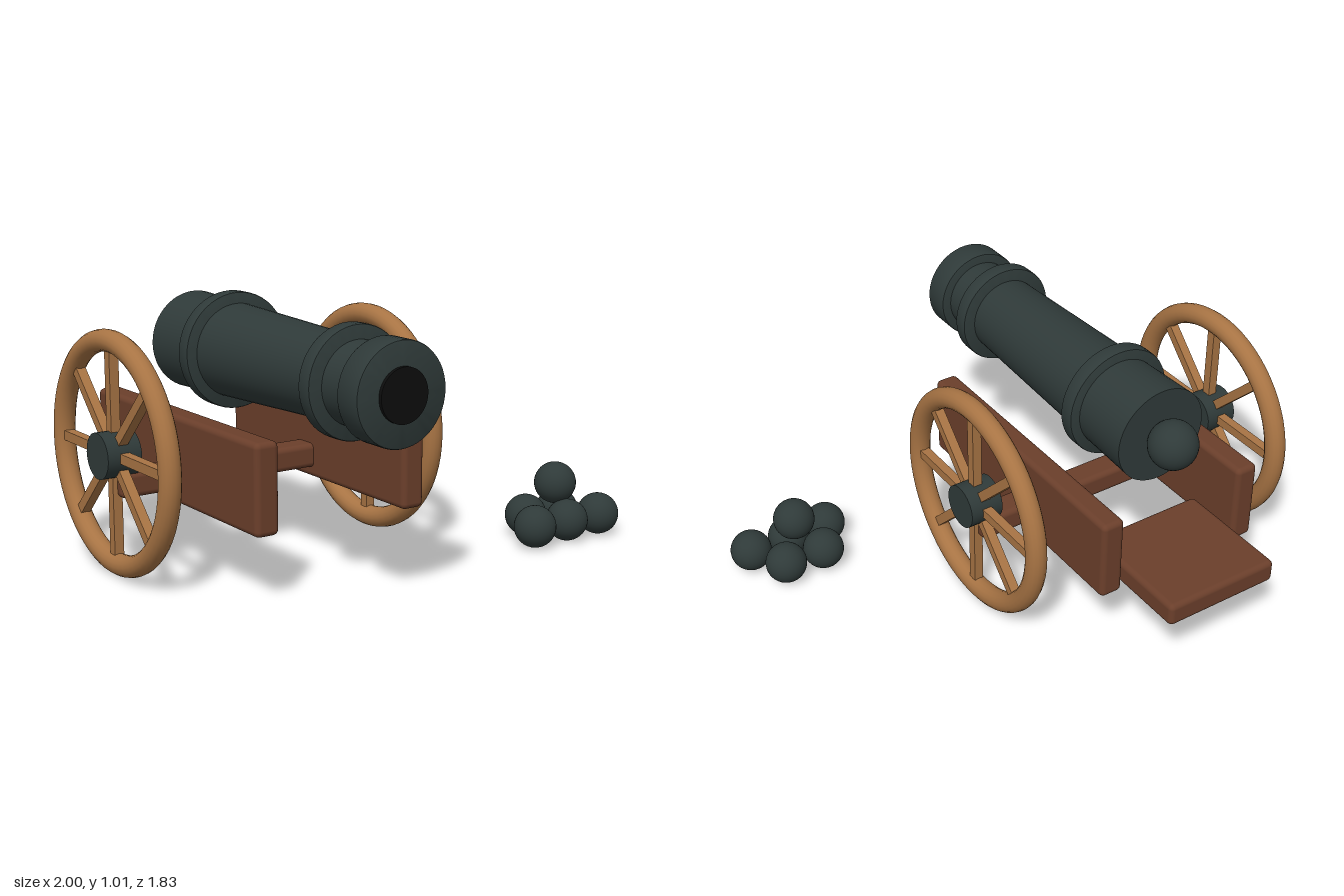
import * as THREE from 'three';
import { RoundedBoxGeometry } from 'three/addons/geometries/RoundedBoxGeometry.js';
import { toCreasedNormals } from 'three/addons/utils/BufferGeometryUtils.js';

const material = (name, color) => {
  const m = new THREE.MeshStandardMaterial({ color });
  m.name = name;
  return m;
};

export function createModel() {
  const iron = material('dark iron', 0x2f3a39);
  const timber = material('red timber', 0x6b3f2b);
  const wheelWood = material('wheel wood', 0xa87444);
  const black = material('bore black', 0x0d0d0d);

  const model = new THREE.Group();
  model.name = 'cannonWithShot';
  const cannon = new THREE.Group();
  cannon.name = 'cannon';
  cannon.position.x = -0.353;
  model.add(cannon);

  const add = (parent, name, geometry, mat, x = 0, y = 0, z = 0) => {
    const mesh = new THREE.Mesh(geometry, mat);
    mesh.name = name;
    mesh.position.set(x, y, z);
    parent.add(mesh);
    return mesh;
  };

  // Solid of revolution along z, from [radius, z] pairs running back to front
  const turned = (points) => {
    const g = new THREE.LatheGeometry(points.map(([r, z]) => new THREE.Vector2(r, z)), 48);
    g.rotateX(Math.PI / 2);
    return toCreasedNormals(g, 0.6);
  };
  // Closed disc with softened rims
  const band = (r, back, front, b = 0.008) => turned([
    [0, back], [r - b, back], [r - b * 0.3, back + b * 0.3], [r, back + b],
    [r, front - b], [r - b * 0.3, front - b * 0.3], [r - b, front], [0, front],
  ]);

  // Barrel
  const barrel = new THREE.Group();
  barrel.name = 'barrel';
  barrel.position.y = 0.788;
  cannon.add(barrel);
  add(barrel, 'tube', turned([[0, -0.488], [0.197, -0.488], [0.149, 0.8], [0, 0.8]]), iron);
  add(barrel, 'muzzle', band(0.189, 0.78, 0.897), iron);
  add(barrel, 'frontBand', band(0.209, 0.576, 0.643), iron);
  add(barrel, 'rearBand', band(0.229, -0.224, -0.157), iron);
  add(barrel, 'bore', turned([[0, 0.85], [0.099, 0.85], [0.099, 0.911], [0, 0.911]]), black);
  add(barrel, 'breechKnob', new THREE.SphereGeometry(0.098, 32, 20), iron, 0, 0, -0.563);

  // Carriage
  const board = (name, w, h, d, x, y, z) =>
    add(cannon, name, new RoundedBoxGeometry(w, h, d, 3, 0.022), timber, x, y, z);
  for (const side of [-1, 1]) {
    board(side > 0 ? 'leftCheek' : 'rightCheek', 0.097, 0.34, 1.2, side * 0.319, 0.431, -0.044);
  }
  board('axle', 1.16, 0.097, 0.117, 0, 0.352, -0.093);
  board('tailBoard', 0.498, 0.097, 0.494, 0, 0.308, -0.667);

  // Wheels, with four full-width bars making eight spokes
  const rim = new THREE.TorusGeometry(0.422, 0.042, 16, 64).rotateY(Math.PI / 2);
  const hub = new THREE.CylinderGeometry(0.088, 0.088, 0.138, 32).rotateZ(Math.PI / 2);
  const bar = new THREE.BoxGeometry(0.038, 0.82, 0.038);
  for (const side of [-1, 1]) {
    const wheel = new THREE.Group();
    wheel.name = side > 0 ? 'leftWheel' : 'rightWheel';
    wheel.position.set(side * 0.58, 0.468, -0.092);
    cannon.add(wheel);
    add(wheel, 'rim', rim, wheelWood);
    add(wheel, 'hub', hub, iron);
    for (let i = 0; i < 4; i++) {
      add(wheel, 'spokePair', bar, wheelWood).rotation.x = i * Math.PI / 4;
    }
  }

  // Stack of shot: three in front, two behind, one on top
  const pile = new THREE.Group();
  pile.name = 'shotPile';
  model.add(pile);
  const ball = new THREE.SphereGeometry(0.084, 32, 20);
  const spots = [
    [0.576, 0.09, 0.555], [0.746, 0.09, 0.555], [0.916, 0.09, 0.555],
    [0.661, 0.09, 0.404], [0.831, 0.09, 0.404], [0.746, 0.229, 0.48],
  ];
  for (const [x, y, z] of spots) add(pile, 'shot', ball, iron, x, y, z);

  return model;
}
